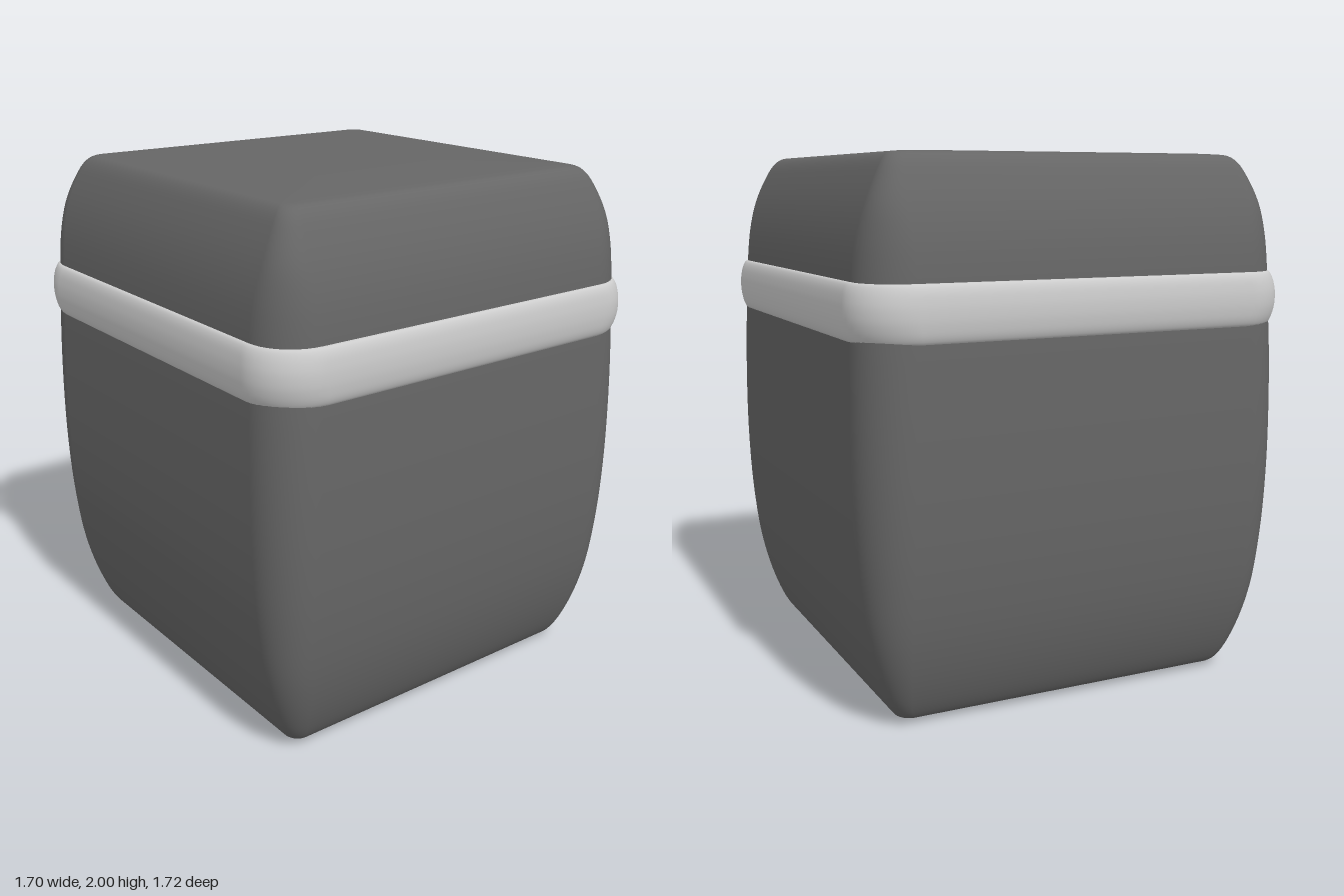
import * as THREE from 'three';

const DEPTH = 1.012; // slightly deeper than wide
const CORNER_STEPS = 10;

// Rounded-square outline, counter-clockwise seen from above
function ring(half, radius, y) {
  const pts = [];
  const c = half - Math.min(radius, half);
  const r = half - c;
  const signs = [[1, -1], [-1, -1], [-1, 1], [1, 1]];
  signs.forEach(([sx, sz], q) => {
    for (let i = 0; i <= CORNER_STEPS; i++) {
      const a = (q + i / CORNER_STEPS) * Math.PI / 2;
      pts.push(sx * c + r * Math.cos(a), y, (sz * c - r * Math.sin(a)) * DEPTH);
    }
  });
  return pts;
}

// Skin a stack of rounded squares; profile entries are [half width, y, corner radius]
function loft(profile, steps) {
  const curve = new THREE.CatmullRomCurve3(profile.map(p => new THREE.Vector3(...p)));
  const samples = curve.getPoints((profile.length - 1) * steps);
  const n = 4 * (CORNER_STEPS + 1);
  const pos = [], index = [];
  samples.forEach(s => pos.push(...ring(Math.max(s.x, 0), Math.max(s.z, 0), s.y)));
  for (let j = 0; j < samples.length - 1; j++) {
    for (let i = 0; i < n; i++) {
      const a = j * n + i, b = j * n + (i + 1) % n;
      index.push(a, b, b + n, a, b + n, a + n);
    }
  }
  const g = new THREE.BufferGeometry();
  g.setAttribute('position', new THREE.Float32BufferAttribute(pos, 3));
  g.setIndex(index);
  g.computeVertexNormals();
  return g;
}

export function createModel() {
  const group = new THREE.Group();
  const dark = new THREE.MeshStandardMaterial({ color: 0x666666 });
  const grey = new THREE.MeshStandardMaterial({ color: 0xcccccc });
  const add = (name, geometry, material) => {
    const mesh = new THREE.Mesh(geometry, material);
    mesh.name = name;
    group.add(mesh);
  };

  // Lower container, tapering to a nearly square base
  add('body', loft([
    [0, 0, 0], [0.4, 0.004, 0.02], [0.62, 0.012, 0.04], [0.665, 0.02, 0.05],
    [0.695, 0.055, 0.06], [0.745, 0.17, 0.09], [0.79, 0.34, 0.12], [0.82, 0.56, 0.15],
    [0.834, 0.8, 0.165], [0.836, 1.05, 0.17], [0.83, 1.3, 0.17], [0.822, 1.46, 0.17],
  ], 5), dark);

  // Lid, curving in to a nearly square top
  add('lid', loft([
    [0.822, 1.46, 0.17], [0.815, 1.6, 0.165], [0.8, 1.71, 0.145], [0.773, 1.81, 0.11],
    [0.735, 1.9, 0.08], [0.7, 1.96, 0.06], [0.672, 1.983, 0.05], [0.63, 1.99, 0.04],
    [0.4, 1.997, 0.02], [0, 2, 0],
  ], 5), dark);

  // Raised band around the seam
  add('band', loft([
    [0.78, 1.366, 0.16], [0.81, 1.366, 0.18], [0.827, 1.368, 0.19], [0.84, 1.39, 0.2],
    [0.848, 1.43, 0.2], [0.85, 1.466, 0.2], [0.848, 1.502, 0.2], [0.84, 1.542, 0.2],
    [0.827, 1.563, 0.19], [0.81, 1.565, 0.18], [0.78, 1.565, 0.16],
  ], 4), grey);

  return group;
}
